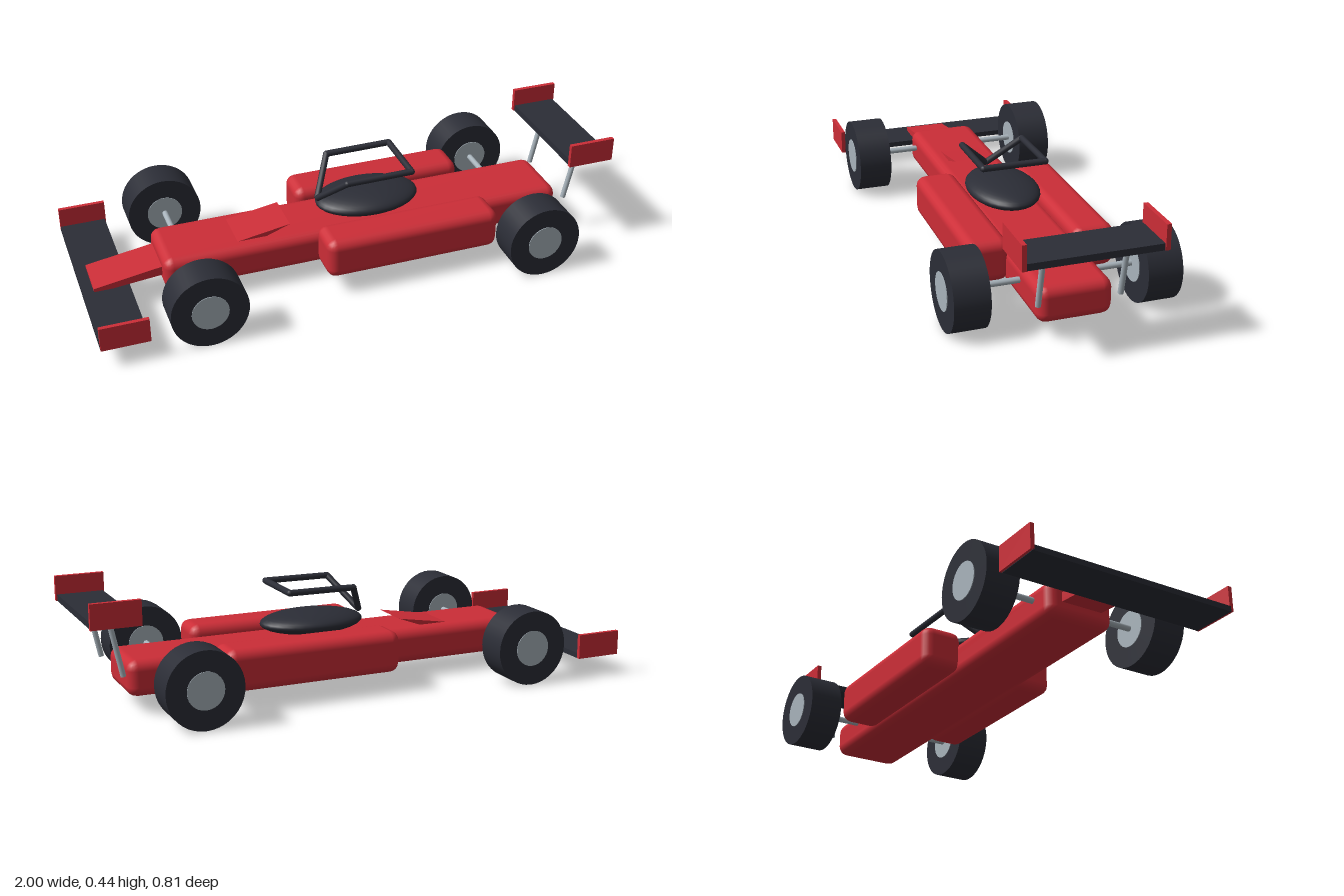
import * as THREE from 'three';
import { RoundedBoxGeometry } from 'three/addons/geometries/RoundedBoxGeometry.js';

function material(name, color) {
  const m = new THREE.MeshStandardMaterial({ color });
  m.name = name;
  return m;
}

export function createModel() {
  const car = new THREE.Group();
  car.name = 'raceCar';
  const red = material('red paint', 0xcc2d37);
  const dark = material('dark rubber and carbon', 0x2b2d36);
  const silver = material('silver metal', 0xa8b3bb);

  function add(name, geometry, mat, x = 0, y = 0, z = 0) {
    const mesh = new THREE.Mesh(geometry, mat);
    mesh.name = name;
    mesh.position.set(x, y, z);
    car.add(mesh);
    return mesh;
  }

  // Box given by its extents on each axis
  function box(name, mat, [x0, x1], [y0, y1], [z0, z1], radius = 0) {
    const size = [x1 - x0, y1 - y0, z1 - z0];
    const geometry = radius
      ? new RoundedBoxGeometry(...size, 2, radius)
      : new THREE.BoxGeometry(...size);
    return add(name, geometry, mat, (x0 + x1) / 2, (y0 + y1) / 2, (z0 + z1) / 2);
  }

  // Straight round bar between two points
  function bar(name, mat, from, to, radius) {
    const a = new THREE.Vector3(...from);
    const b = new THREE.Vector3(...to);
    const dir = b.clone().sub(a);
    const mesh = add(name, new THREE.CylinderGeometry(radius, radius, dir.length(), 12), mat);
    mesh.position.copy(a).add(b).multiplyScalar(0.5);
    mesh.quaternion.setFromUnitVectors(new THREE.Vector3(0, 1, 0), dir.normalize());
    return mesh;
  }

  // Main hull
  box('hull', red, [-0.71, 0.845], [0.057, 0.188], [-0.132, 0.132], 0.036);

  // Sloping nose wedge that runs through the hull and rises in front of the cockpit
  const wedge = new THREE.Shape([
    [-0.96, 0.085], [-0.83, 0.098], [-0.7, 0.11], [-0.5, 0.13], [-0.32, 0.186],
    [-0.225, 0.221], [-0.4, 0.192], [-0.96, 0.105],
  ].map(([x, y]) => new THREE.Vector2(x, y)));
  add('nose', new THREE.ExtrudeGeometry(wedge, { depth: 0.16, bevelEnabled: false }), red, 0, 0, -0.08);

  // Cockpit
  const cockpit = new THREE.SphereGeometry(1, 32, 20);
  cockpit.scale(0.2, 0.043, 0.13);
  add('cockpit', cockpit, dark, 0.103, 0.233, 0);

  // Wings
  box('frontWing', dark, [-1, -0.83], [0.072, 0.092], [-0.392, 0.392]);
  box('rearWing', dark, [0.828, 0.995], [0.344, 0.368], [-0.238, 0.238]);

  // Mirrored side parts
  for (const s of [-1, 1]) {
    const side = s > 0 ? 'left' : 'right';
    const span = (a, b) => (s > 0 ? [a, b] : [-b, -a]);
    box(side + 'Sidepod', red, [-0.138, 0.533], [0.07, 0.224], span(0.115, 0.271), 0.036);
    box(side + 'FrontEndplate', red, [-1, -0.826], [0.074, 0.166], span(0.386, 0.401));
    box(side + 'RearEndplate', red, [0.823, 1], [0.345, 0.435], span(0.231, 0.247));
    bar(side + 'WingStrut', silver, [0.867, 0.147, s * 0.143], [0.912, 0.355, s * 0.143], 0.01);

    // Halo leg and side rail
    const corner = [-0.015, 0.37, s * 0.117];
    bar(side + 'HaloLeg', dark, [-0.092, 0.258, 0], corner, 0.012);
    bar(side + 'HaloRail', dark, corner, [0.237, 0.372, s * 0.117], 0.012);
    for (const p of [corner, [0.237, 0.372, s * 0.117]]) {
      add(side + 'HaloJoint', new THREE.SphereGeometry(0.012, 12, 8), dark, ...p);
    }
  }
  bar('haloCrossbar', dark, [0.237, 0.372, -0.117], [0.237, 0.372, 0.117], 0.012);

  // Wheels and axles
  const tyre = new THREE.CylinderGeometry(0.14, 0.14, 0.126, 40);
  const hub = new THREE.CylinderGeometry(0.067, 0.067, 0.131, 28);
  tyre.rotateX(Math.PI / 2);
  hub.rotateX(Math.PI / 2);
  for (const [end, x] of [['front', -0.615], ['rear', 0.66]]) {
    bar(end + 'Axle', silver, [x, 0.14, -0.3], [x, 0.14, 0.3], 0.011);
    for (const z of [-0.338, 0.338]) {
      add(end + 'Tyre', tyre, dark, x, 0.14, z);
      add(end + 'Hub', hub, silver, x, 0.14, z);
    }
  }
  return car;
}
